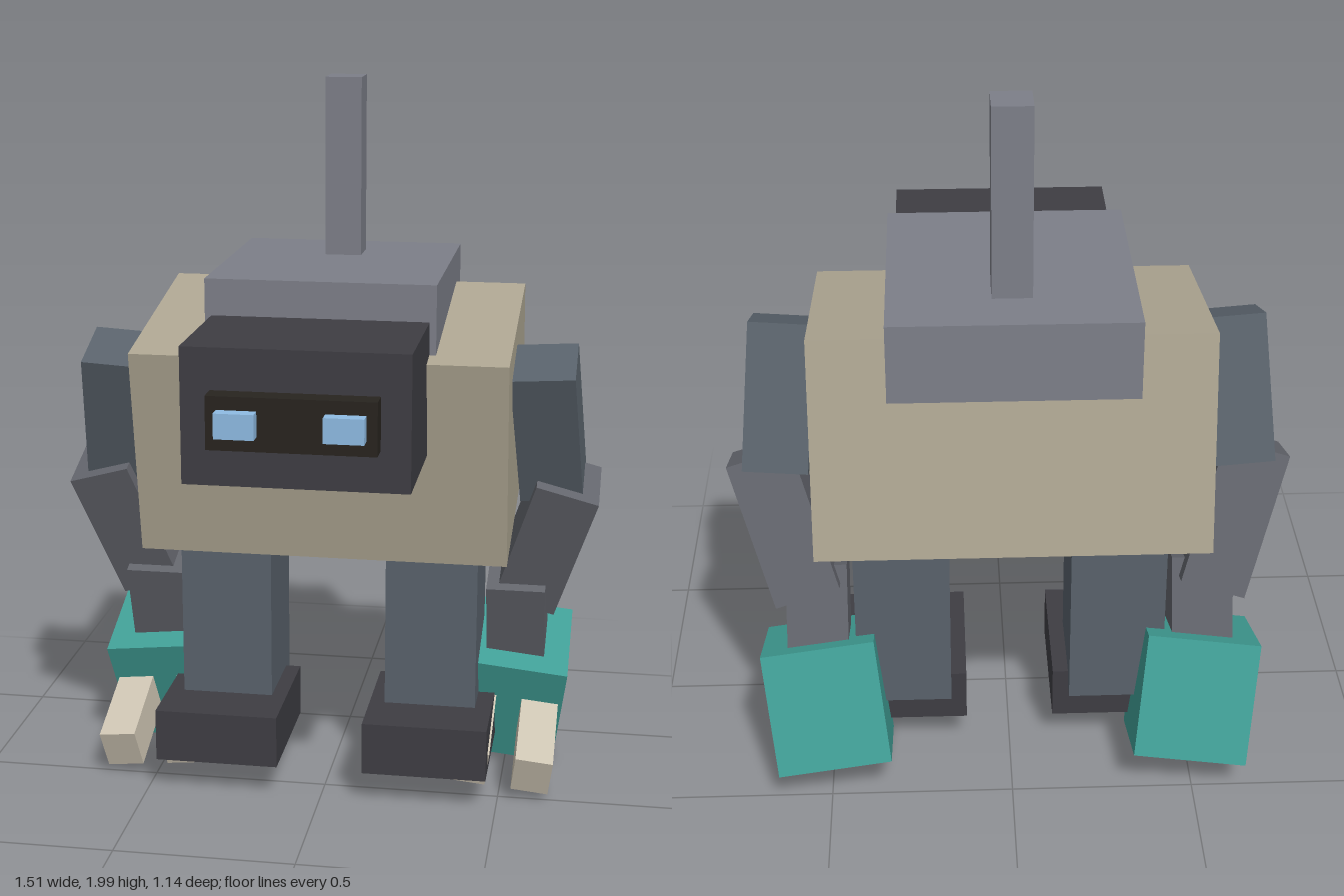
import * as THREE from 'three';

const rad = THREE.MathUtils.degToRad;
const mat = (color) => new THREE.MeshStandardMaterial({ color, flatShading: true });

const materials = {
  shell: mat(0xaea692),
  plate: mat(0x7d7f89),
  dark: mat(0x3e3d43),
  visor: mat(0x28241f),
  eye: mat(0x8fbce4),
  limb: mat(0x59626b),
  joint: mat(0x63656c),
  hand: mat(0x419f96),
  finger: mat(0xcec5b3),
};

// A named box: size and centre, with optional tilt in degrees about x and z
function box(parent, name, material, size, centre, tiltX = 0, tiltZ = 0) {
  const mesh = new THREE.Mesh(new THREE.BoxGeometry(...size), materials[material]);
  mesh.name = name;
  mesh.position.set(...centre);
  mesh.rotation.set(rad(tiltX), 0, rad(tiltZ));
  parent.add(mesh);
  return mesh;
}

function createLeg(s, side) {
  const leg = new THREE.Group();
  leg.name = side + 'Leg';
  box(leg, 'shin', 'limb', [0.26, 0.56, 0.29], [s * 0.295, 0.485, -0.2]);
  box(leg, 'foot', 'dark', [0.35, 0.15, 0.4], [s * 0.297, 0.175, -0.09]);
  return leg;
}

function createArm(s, side) {
  const arm = new THREE.Group();
  arm.name = side + 'Arm';
  box(arm, 'upperArm', 'limb', [0.175, 0.4, 0.185], [s * 0.608, 1.08, -0.133], 20, s * 4);
  box(arm, 'forearm', 'joint', [0.18, 0.41, 0.19], [s * 0.608, 0.733, -0.22], 18.5, s * -17);
  box(arm, 'wrist', 'joint', [0.167, 0.3, 0.17], [s * 0.527, 0.466, -0.266], 18.5);
  const hand = box(arm, 'hand', 'hand', [0.31, 0.342, 0.3], [s * 0.507, 0.234, -0.342], 20, s * -7);
  // Two fingers point forward out of the palm
  for (const x of [-0.09, 0.09]) {
    box(hand, 'finger', 'finger', [0.106, 0.118, 0.3], [x, 0, 0.25]);
  }
  return arm;
}

export function createModel() {
  const model = new THREE.Group();
  model.name = 'robot';

  // Tilted torso with the level back plate and antenna on top
  box(model, 'torso', 'shell', [1.025, 0.593, 0.62], [0, 1.062, -0.203], 10);
  box(model, 'backPlate', 'plate', [0.626, 0.21, 0.66], [0, 1.395, -0.24]);
  box(model, 'antenna', 'plate', [0.102, 0.5, 0.102], [0, 1.75, -0.378]);

  // Head with visor and eyes
  const head = new THREE.Group();
  head.name = 'head';
  box(head, 'skull', 'dark', [0.59, 0.36, 0.55], [0, 1.22, 0.2]);
  box(head, 'visor', 'visor', [0.435, 0.14, 0.07], [0, 1.22, 0.5]);
  for (const s of [-1, 1]) {
    box(head, 'eye', 'eye', [0.103, 0.066, 0.06], [s * 0.138, 1.222, 0.542]);
  }
  model.add(head);

  for (const [s, side] of [[1, 'left'], [-1, 'right']]) {
    model.add(createLeg(s, side), createArm(s, side));
  }
  return model;
}
